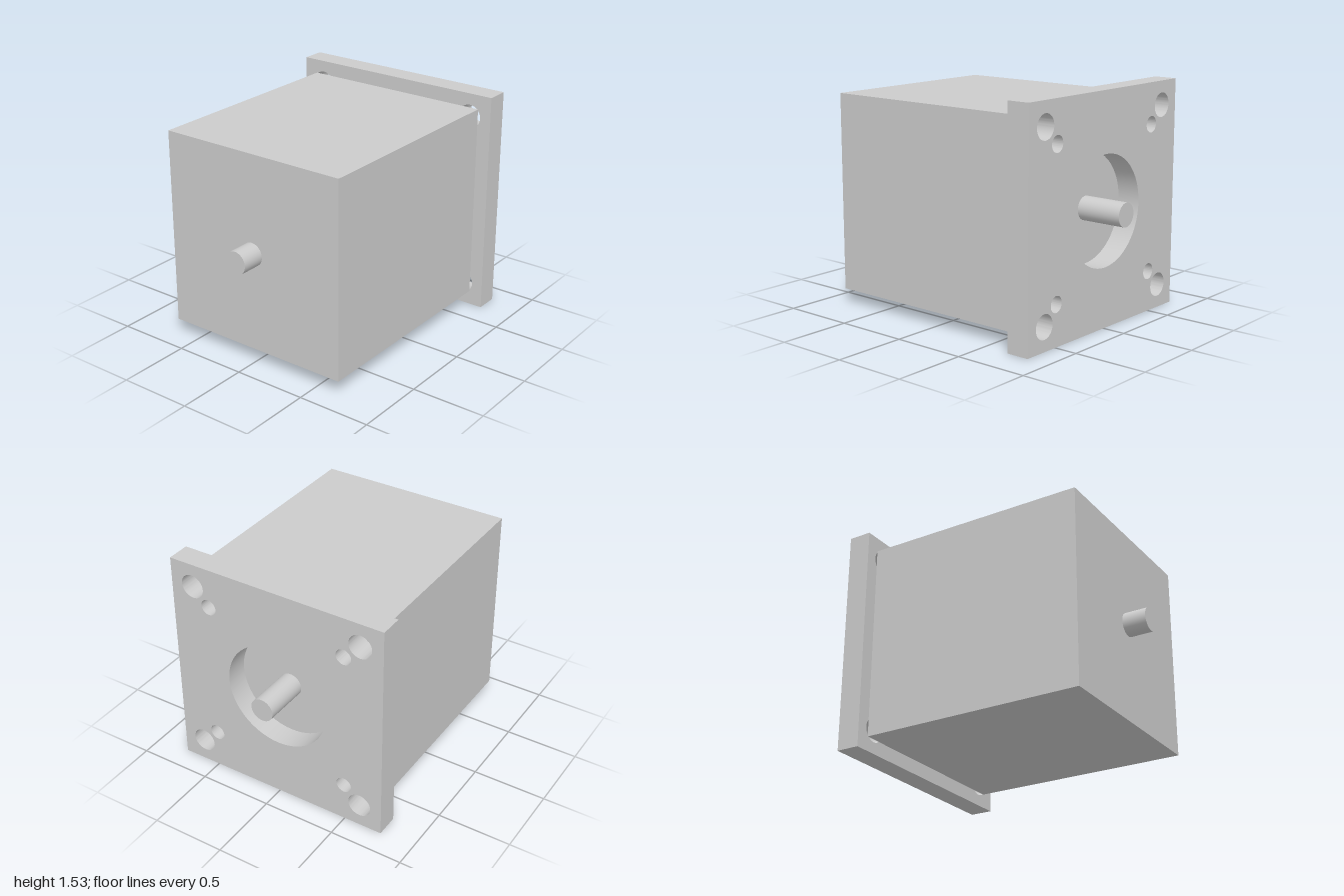
import * as THREE from 'three';
import { toCreasedNormals } from 'three/addons/utils/BufferGeometryUtils.js';

const CENTER_Y = 0.767;
const PLATE = { half: 0.767, back: -0.842, front: -0.685 };
const BODY = { size: 1.34, front: 0.84 };

export function createModel() {
  const group = new THREE.Group();
  const material = new THREE.MeshStandardMaterial({ color: 0xcccccc });

  const add = (name, geometry, z) => {
    const mesh = new THREE.Mesh(geometry, material);
    mesh.name = name;
    mesh.position.set(0, CENTER_Y, z);
    group.add(mesh);
  };

  // Motor housing
  const bodyLength = BODY.front - PLATE.front;
  add('housing', new THREE.BoxGeometry(BODY.size, BODY.size, bodyLength),
    (BODY.front + PLATE.front) / 2);

  // Square mounting flange with a central bore and a pair of holes per corner
  const h = PLATE.half;
  const shape = new THREE.Shape([
    new THREE.Vector2(-h, -h), new THREE.Vector2(h, -h),
    new THREE.Vector2(h, h), new THREE.Vector2(-h, h),
  ]);
  const hole = (x, y, r) =>
    shape.holes.push(new THREE.Path().absarc(x, y, r, 0, Math.PI * 2, true));
  hole(0, 0, 0.365);
  for (const sx of [-1, 1]) {
    for (const sy of [-1, 1]) {
      hole(sx * 0.608, sy * 0.608, 0.081);
      hole(sx * 0.493, sy * 0.493, 0.054);
    }
  }
  const flange = new THREE.ExtrudeGeometry(shape, {
    depth: PLATE.front - PLATE.back, bevelEnabled: false, curveSegments: 32,
  });
  add('mountingFlange', toCreasedNormals(flange, Math.PI / 6), PLATE.back);

  // Shaft running through the housing and out of both ends
  add('shaft', new THREE.CylinderGeometry(0.079, 0.079, 2, 40).rotateX(Math.PI / 2), 0);

  return group;
}
